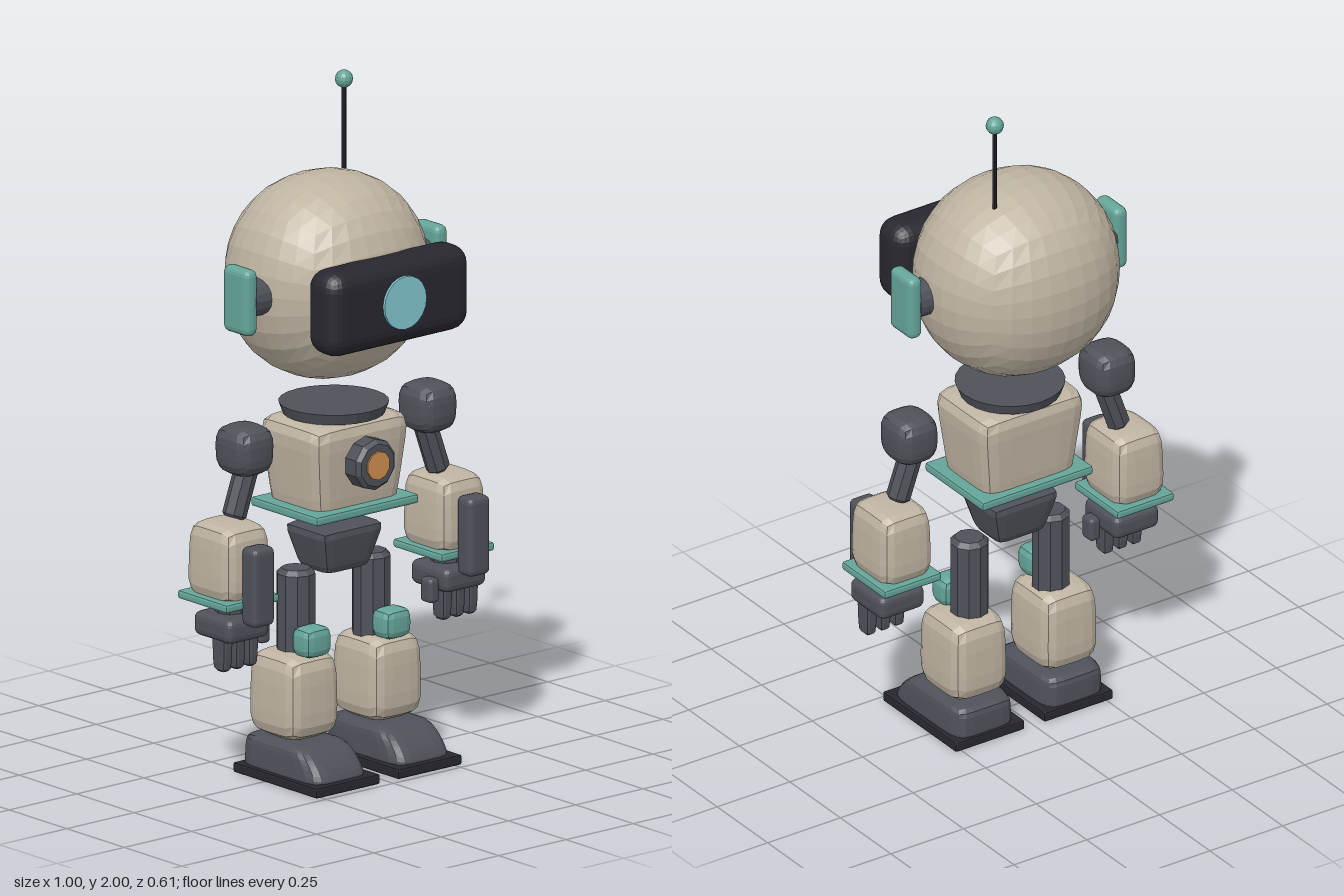
import * as THREE from 'three';
import { RoundedBoxGeometry } from 'three/addons/geometries/RoundedBoxGeometry.js';

function material(name, color) {
  const m = new THREE.MeshStandardMaterial({ color });
  m.name = name;
  return m;
}

// Faceted normals
function flat(geo) {
  const g = geo.index ? geo.toNonIndexed() : geo;
  g.computeVertexNormals();
  return g;
}

// Gridded box pushed onto a superellipsoid; `rule` may reshape the unit form
function pillow(w, h, d, k, n = 6, rule = null) {
  const g = new THREE.BoxGeometry(2, 2, 2, n, n, n);
  const p = g.attributes.position;
  const v = new THREE.Vector3();
  for (let i = 0; i < p.count; i++) {
    v.fromBufferAttribute(p, i);
    if (k < 3.5) v.set(...v.toArray().map((c) => Math.tan(c * Math.PI / 4)));
    const len = (Math.abs(v.x) ** k + Math.abs(v.y) ** k + Math.abs(v.z) ** k) ** (1 / k);
    v.divideScalar(len);
    if (rule) rule(v);
    p.setXYZ(i, v.x * w / 2, v.y * h / 2, v.z * d / 2);
  }
  return flat(g);
}

// Width rule running from `bottom` to `top`
const taper = (bottom, top) => (v) => {
  const s = bottom + (top - bottom) * (v.y + 1) / 2;
  v.x *= s;
  v.z *= s;
};

// Bevelled round rod
function rod(r, h, bevel, sides) {
  const y = h / 2;
  const pts = [[0, -y], [r - bevel, -y], [r, -y + bevel], [r, y - bevel], [r - bevel, y], [0, y]];
  return flat(new THREE.LatheGeometry(pts.map((q) => new THREE.Vector2(...q)), sides));
}

export function createModel() {
  const shell = material('shell beige', 0xbfb4a2);
  const joint = material('joint grey', 0x4e5159);
  const black = material('visor black', 0x28272f);
  const teal = material('trim teal', 0x64a498);
  const cyan = material('eye cyan', 0x82c6d1);
  const orange = material('core orange', 0xd08f4e);

  const model = new THREE.Group();
  model.name = 'robot';
  const add = (parent, name, geo, mat, x, y, z) => {
    const mesh = new THREE.Mesh(geo, mat);
    mesh.name = name;
    mesh.position.set(x, y, z);
    parent.add(mesh);
    return mesh;
  };
  const group = (name) => {
    const g = new THREE.Group();
    g.name = name;
    model.add(g);
    return g;
  };
  const box = (w, h, d, r, seg = 2) => flat(new RoundedBoxGeometry(w, h, d, seg, r));

  // Head, visor and antenna
  const head = group('head');
  add(head, 'skull', pillow(0.595, 0.595, 0.53, 2.15, 8), shell, 0, 1.437, -0.04);
  add(head, 'visor', box(0.525, 0.25, 0.135, 0.055, 3), black, 0, 1.42, 0.228);
  add(head, 'eye', flat(new THREE.CylinderGeometry(0.078, 0.078, 0.009, 20)), cyan, 0, 1.425, 0.299).rotation.x = Math.PI / 2;
  add(head, 'antennaRod', flat(new THREE.CylinderGeometry(0.007, 0.007, 0.27, 8)), black, 0.115, 1.825, -0.1);
  add(head, 'antennaTip', flat(new THREE.SphereGeometry(0.026, 12, 8)), teal, 0.115, 1.974, -0.1);

  // Torso
  const torso = group('torso');
  add(torso, 'neckRing', flat(new THREE.CylinderGeometry(0.157, 0.145, 0.032, 24)), joint, 0, 1.054, -0.01);
  add(torso, 'chest', pillow(0.375, 0.295, 0.285, 7, 8, taper(0.8, 1)), shell, 0, 0.892, -0.008);
  add(torso, 'waistPlate', box(0.38, 0.028, 0.29, 0.008, 1), teal, 0, 0.778, -0.005);
  add(torso, 'pelvis', pillow(0.24, 0.135, 0.19, 9, 6, taper(0.66, 1)), joint, 0, 0.648, -0.008);
  const ring = add(torso, 'coreRing', rod(0.075, 0.07, 0.012, 10), joint, 0, 0.92, 0.147);
  const core = add(torso, 'core', flat(new THREE.CylinderGeometry(0.042, 0.042, 0.008, 10)), orange, 0, 0.92, 0.183);
  ring.rotation.x = core.rotation.x = Math.PI / 2;

  for (const s of [1, -1]) {
    const side = s > 0 ? 'left' : 'right';

    // Ear pad on a dark hub
    add(head, side + 'EarHub', flat(new THREE.CylinderGeometry(0.055, 0.055, 0.06, 16)), joint, s * 0.308, 1.432, -0.003).rotation.z = Math.PI / 2;
    add(head, side + 'Ear', box(0.046, 0.195, 0.112, 0.02), teal, s * 0.353, 1.432, -0.003);

    // Arm
    const arm = group(side + 'Arm');
    add(arm, 'shoulder', pillow(0.138, 0.145, 0.15, 3.4, 6, taper(0.97, 1)), joint, s * 0.34, 0.993, 0);
    add(arm, 'upperArm', rod(0.035, 0.19, 0.008, 8), joint, s * 0.349, 0.888, 0).rotation.z = s * 0.34;
    add(arm, 'forearm', pillow(0.172, 0.225, 0.198, 5, 6, taper(1.03, 0.96)), shell, s * 0.4, 0.682, 0.002);
    add(arm, 'wristPlate', box(0.197, 0.026, 0.216, 0.008, 1), teal, s * 0.4, 0.572, 0);
    add(arm, 'armPanel', box(0.08, 0.232, 0.065, 0.018), joint, s * 0.4, 0.63, 0.13);

    // Hand
    add(arm, 'wrist', rod(0.045, 0.06, 0.006, 8), joint, s * 0.4, 0.54, 0.01);
    add(arm, 'palm', box(0.155, 0.072, 0.165, 0.022), joint, s * 0.403, 0.495, 0.017);
    for (let i = -1; i <= 1; i++) {
      add(arm, 'finger', pillow(0.037, 0.12, 0.058, 6, 4, taper(0.85, 1)), joint, s * (0.408 + i * 0.048), 0.43, 0.04);
    }
    add(arm, 'thumb', box(0.037, 0.072, 0.05, 0.012), joint, s * 0.314, 0.465, 0.04);

    // Leg
    const leg = group(side + 'Leg');
    add(leg, 'thigh', rod(0.056, 0.28, 0.014, 10), joint, s * 0.14, 0.465, -0.01);
    add(leg, 'knee', pillow(0.098, 0.088, 0.08, 4, 4), teal, s * 0.148, 0.407, 0.068);
    add(leg, 'shin', pillow(0.192, 0.248, 0.216, 5, 6, taper(1, 0.96)), shell, s * 0.155, 0.246, -0.002);

    // Foot with a toe that slopes down
    const toe = (v) => {
      const t = (v.y + 1) / 2;
      if (v.z > 0) v.z *= 1 - 0.55 * t * t;
      v.x *= 1 - 0.08 * t;
    };
    add(leg, 'shoe', pillow(0.21, 0.115, 0.345, 6, 8, toe), joint, s * 0.155, 0.064, 0.046);
    add(leg, 'sole', box(0.237, 0.03, 0.365, 0.006, 1), black, s * 0.152, 0.015, 0.05);
  }
  return model;
}
